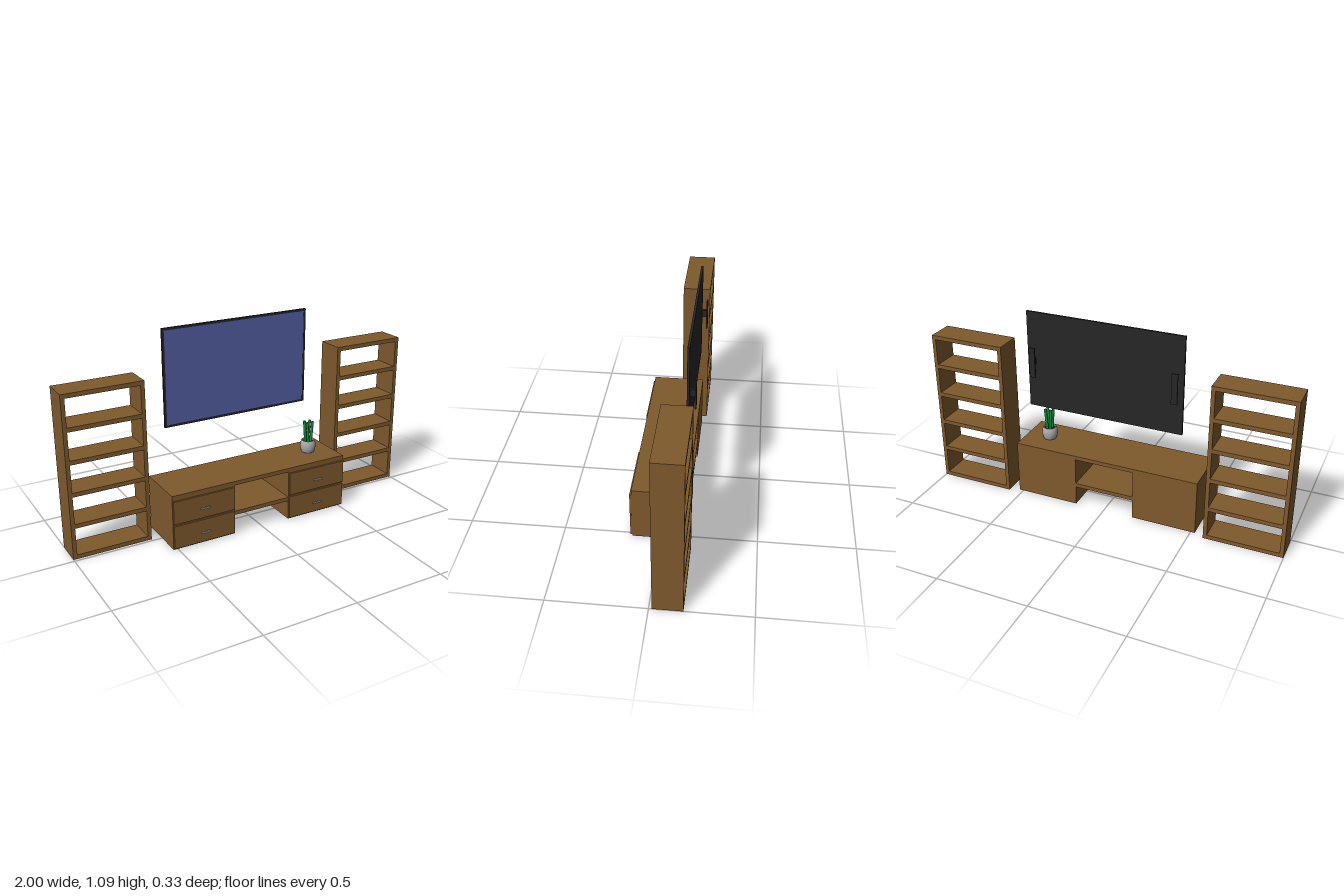
import * as THREE from 'three';

const material = (name, color) => {
  const m = new THREE.MeshStandardMaterial({ color });
  m.name = name;
  return m;
};

export function createModel() {
  const wood = material('wood', 0x7f5a2d);
  const black = material('black plastic', 0x262626);
  const blue = material('screen blue', 0x5560a6);
  const grey = material('pale grey', 0xaaaaaa);
  const green = material('leaf green', 0x14913c);
  const soilBrown = material('soil', 0x33281c);
  grey.side = THREE.DoubleSide;

  const group = (name, parent) => {
    const g = new THREE.Group();
    g.name = name;
    parent.add(g);
    return g;
  };
  const add = (parent, name, geometry, mat) => {
    const mesh = new THREE.Mesh(geometry, mat);
    mesh.name = name;
    parent.add(mesh);
    return mesh;
  };
  // Box given by its lower and upper limits on each axis
  const box = (parent, name, mat, [x0, x1], [y0, y1], [z0, z1]) => {
    const mesh = add(parent, name, new THREE.BoxGeometry(x1 - x0, y1 - y0, z1 - z0), mat);
    mesh.position.set((x0 + x1) / 2, (y0 + y1) / 2, (z0 + z1) / 2);
    return mesh;
  };

  const model = new THREE.Group();
  model.name = 'mediaWall';

  // Two open bookcases
  for (const side of [-1, 1]) {
    const bookcase = group(side > 0 ? 'leftBookcase' : 'rightBookcase', model);
    const z = [-0.165, -0.015], cx = side * 0.7875, half = 0.2125, t = 0.021;
    box(bookcase, 'sidePanel', wood, [cx - half, cx - half + t], [0, 0.875], z);
    box(bookcase, 'sidePanel', wood, [cx + half - t, cx + half], [0, 0.875], z);
    for (let i = 0; i < 6; i++) {
      const y = i * (0.875 - 0.023) / 5;
      box(bookcase, 'shelf', wood, [cx - half + t, cx + half - t], [y, y + 0.023], z);
    }
  }

  // Low console with two drawer cabinets
  const consoleUnit = group('console', model);
  const depth = [-0.14, 0.144];
  box(consoleUnit, 'top', wood, [-0.523, 0.523], [0.28, 0.302], depth);
  box(consoleUnit, 'middleShelf', wood, [-0.167, 0.167], [0.108, 0.13], depth);
  for (const side of [-1, 1]) {
    const cabinet = group(side > 0 ? 'leftCabinet' : 'rightCabinet', consoleUnit);
    const cx = side * 0.345;
    box(cabinet, 'carcass', wood, [cx - 0.178, cx + 0.178], [0, 0.28], depth);
    for (const y of [0.008, 0.146]) {
      box(cabinet, 'drawerFront', wood, [cx - 0.175, cx + 0.175], [y, y + 0.127], [0.144, 0.154]);
      // Bar handle on two posts
      const handle = group('handle', cabinet);
      handle.position.set(cx, y + 0.057, 0);
      box(handle, 'bar', grey, [-0.027, 0.027], [-0.004, 0.004], [0.161, 0.167]);
      for (const x of [-0.015, 0.015]) {
        const post = add(handle, 'post', new THREE.CylinderGeometry(0.003, 0.003, 0.01, 10), grey);
        post.rotation.x = Math.PI / 2;
        post.position.set(x, 0, 0.158);
      }
    }
  }

  // Television: back panel, raised bezel, screen
  const tv = group('television', model);
  box(tv, 'panel', black, [-0.428, 0.428], [0.56, 1.09], [-0.133, -0.124]);
  for (const s of [-1, 1]) {
    box(tv, 'bezelSide', black, [s * 0.422 - 0.006, s * 0.422 + 0.006], [0.56, 1.09], [-0.124, -0.121]);
    const y = 0.825 + s * 0.259;
    box(tv, 'bezelEdge', black, [-0.416, 0.416], [y - 0.006, y + 0.006], [-0.124, -0.121]);
  }
  box(tv, 'screen', blue, [-0.416, 0.416], [0.572, 1.078], [-0.124, -0.122]);
  // Wall brackets
  for (const x of [-0.39, 0.39]) {
    const bracket = group('wallBracket', tv);
    box(bracket, 'plate', black, [x - 0.016, x + 0.016], [0.738, 0.902], [-0.165, -0.157]);
    box(bracket, 'neck', black, [x - 0.008, x + 0.008], [0.805, 0.845], [-0.157, -0.133]);
  }

  // Potted plant
  const plant = group('pottedPlant', model);
  plant.position.set(0.387, 0.302, -0.005);
  const profile = new THREE.SplineCurve([[0.035, 0], [0.041, 0.02], [0.043, 0.038], [0.041, 0.055], [0.036, 0.07]]
    .map(([x, y]) => new THREE.Vector2(x, y))).getPoints(12);
  add(plant, 'pot', new THREE.LatheGeometry(
    [new THREE.Vector2(0, 0), ...profile, new THREE.Vector2(0.031, 0.07), new THREE.Vector2(0.031, 0.058)], 28), grey);
  const soil = add(plant, 'soil', new THREE.CircleGeometry(0.032, 28), soilBrown);
  soil.rotation.x = -Math.PI / 2;
  soil.position.y = 0.06;
  // Four stalks leaning outwards
  for (const sx of [-1, 1]) for (const sz of [-1, 1]) {
    const stalk = add(plant, 'stalk', new THREE.CylinderGeometry(0.0075, 0.0075, 0.125, 12), green);
    stalk.position.set(sx * 0.0125, 0.116, sz * 0.014);
    stalk.rotation.z = -sx * 0.08;
  }
  return model;
}
